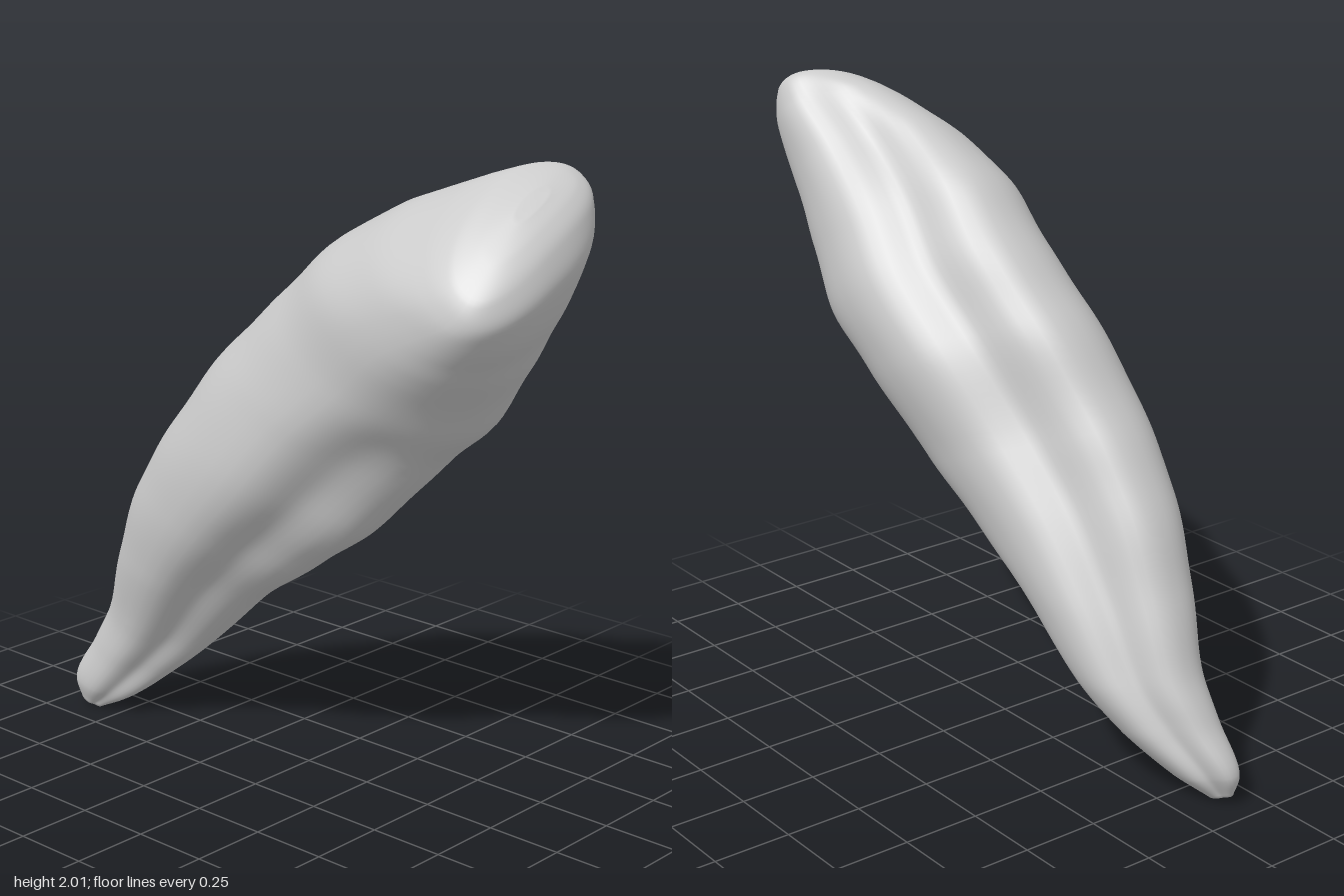
import * as THREE from 'three';

// Sections from the lower tip to the blunt upper end:
// front z, front y, back z, back y, right x, left x, sideways slant
const SECTIONS = [
  [-0.84, 0.00, -0.92, 0.03, -0.17, -0.12, 0],
  [-0.72, 0.06, -0.945, 0.11, -0.20, -0.04, 0],
  [-0.58, 0.17, -0.87, 0.26, -0.20, 0.06, 0],
  [-0.42, 0.31, -0.80, 0.40, -0.21, 0.13, 0],
  [-0.20, 0.51, -0.71, 0.63, -0.27, 0.17, 0],
  [0.05, 0.68, -0.59, 0.89, -0.32, 0.20, 0],
  [0.28, 0.85, -0.43, 1.12, -0.34, 0.24, 0],
  [0.47, 1.05, -0.24, 1.37, -0.32, 0.31, 0.03],
  [0.64, 1.20, -0.04, 1.56, -0.30, 0.335, 0.06],
  [0.78, 1.38, 0.16, 1.73, -0.31, 0.31, 0.15],
  [0.88, 1.51, 0.39, 1.84, -0.31, 0.29, 0.30],
  [0.945, 1.64, 0.59, 1.89, -0.30, 0.285, 0.45],
  [0.935, 1.74, 0.70, 1.90, -0.27, 0.26, 0.52],
  [0.90, 1.81, 0.77, 1.89, -0.18, 0.19, 0.52],
  [0.86, 1.85, 0.82, 1.875, -0.06, 0.07, 0.52],
];
const RINGS = 112, SIDES = 56;

const spline = (pick) =>
  new THREE.CatmullRomCurve3(SECTIONS.map((s) => new THREE.Vector3(...pick(s))));
// Softened square cross-section
const soft = (v) => Math.sign(v) * Math.pow(Math.abs(v), 0.82);
const { smoothstep } = THREE.MathUtils;

function taperedBody() {
  const front = spline((s) => [0, s[1], s[0]]);
  const back = spline((s) => [0, s[3], s[2]]);
  const sides = spline((s) => [s[4], s[5], s[6]]);
  const pos = [], index = [];

  for (let i = 0; i <= RINGS; i++) {
    const t = i / RINGS;
    const f = front.getPoint(t), b = back.getPoint(t), s = sides.getPoint(t);
    const mid = f.clone().add(b).multiplyScalar(0.5);
    const half = b.clone().sub(f).multiplyScalar(0.5);
    const cx = (s.x + s.y) / 2, rx = (s.y - s.x) / 2;
    // Bevels of the left-back and right-front corners, fading out upward
    const bevelBack = 0.34 - 0.27 * smoothstep(t, 0.7, 0.9);
    const bevelFront = 0.3 - 0.27 * smoothstep(t, 0.4, 0.68);
    for (let j = 0; j < SIDES; j++) {
      const a = (j / SIDES) * Math.PI * 2;
      const corner = Math.pow(Math.max(0, Math.sin(2 * a)), 1.3);
      // Shallow growth ripples run across the front and back
      const r = (1 - (a < Math.PI ? bevelBack : bevelFront) * corner)
        * (1 + 0.008 * Math.sin(Math.PI * t) * Math.sin(t * 80) * Math.abs(Math.sin(a)));
      const dx = rx * soft(Math.cos(a)) * r, v = soft(Math.sin(a)) * r;
      const lift = s.z * (dx + 0.12 * (1 - (dx * dx) / 0.09));
      pos.push(cx + dx, mid.y + half.y * v + lift, mid.z + half.z * v);
    }
  }
  for (let i = 0; i < RINGS; i++) {
    for (let j = 0; j < SIDES; j++) {
      const k = (j + 1) % SIDES;
      const a = i * SIDES + j, b = i * SIDES + k;
      index.push(a, b, a + SIDES, b, b + SIDES, a + SIDES);
    }
  }
  // End caps
  const cap = (ring, top) => {
    const c = new THREE.Vector3();
    for (let j = 0; j < SIDES; j++) {
      c.add(new THREE.Vector3().fromArray(pos, (ring * SIDES + j) * 3));
    }
    c.divideScalar(SIDES);
    const n = pos.length / 3;
    pos.push(c.x, c.y, c.z);
    for (let j = 0; j < SIDES; j++) {
      const a = ring * SIDES + j, b = ring * SIDES + ((j + 1) % SIDES);
      if (top) index.push(a, b, n);
      else index.push(b, a, n);
    }
  };
  cap(0, false);
  cap(RINGS, true);

  const g = new THREE.BufferGeometry();
  g.setAttribute('position', new THREE.Float32BufferAttribute(pos, 3));
  g.setIndex(index);
  g.computeVertexNormals();
  return g;
}

export function createModel() {
  const group = new THREE.Group();
  group.name = 'taperedHorn';
  const body = new THREE.Mesh(taperedBody(), new THREE.MeshStandardMaterial({ color: 0xcccccc }));
  body.name = 'hornBody';
  group.add(body);
  return group;
}
